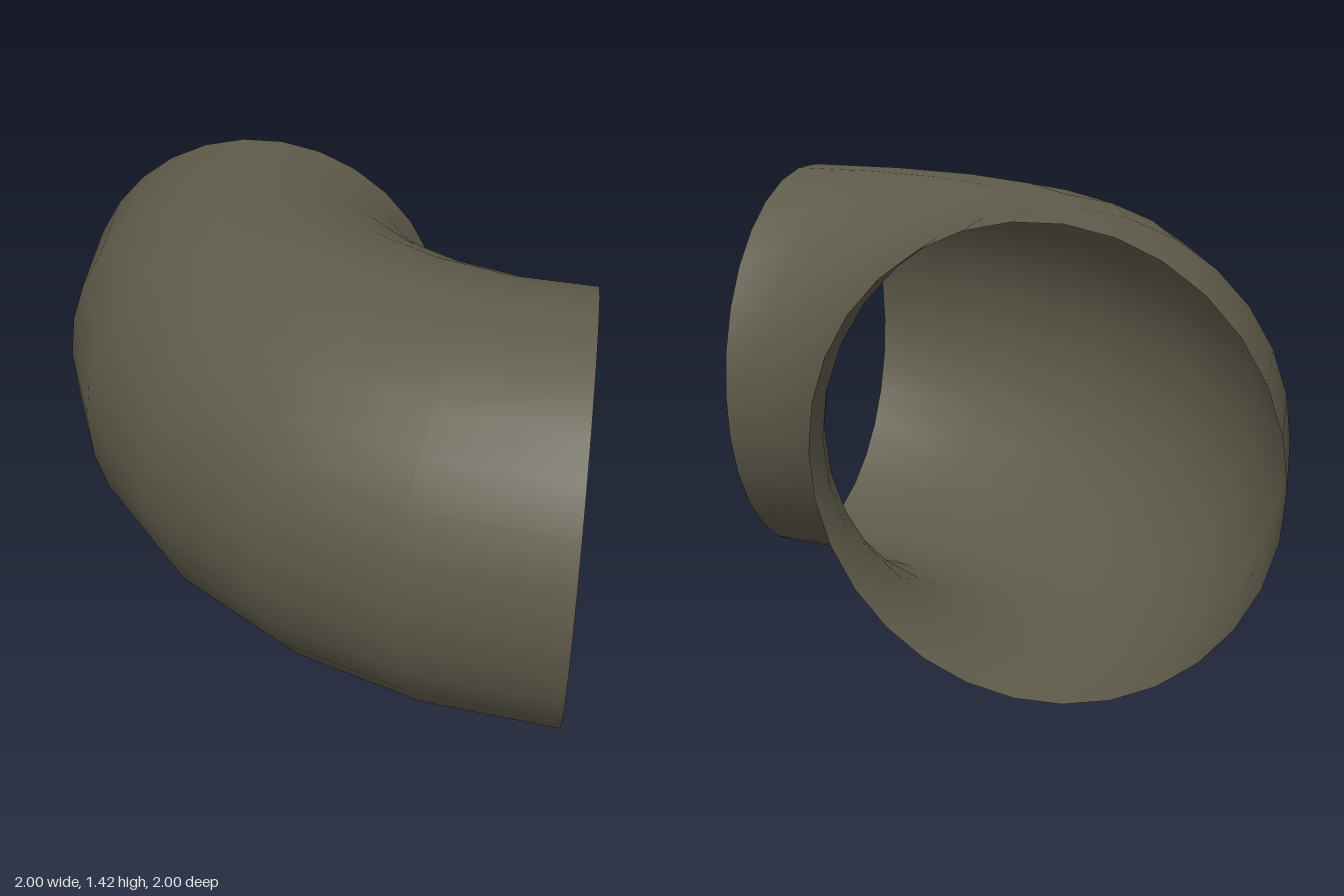
import * as THREE from 'three';

const BEND_RADIUS = 1.285; // centre line of the bend
const TUBE_RADIUS = 0.715;
const SIDES = 30;
const STEPS = 6;

export function createModel() {
  const group = new THREE.Group();
  group.name = 'pipeElbow';

  const darkOlive = new THREE.MeshStandardMaterial({ color: 0x5f5b4b, side: THREE.DoubleSide });
  darkOlive.name = 'dark olive grey';

  // Quarter-turn pipe, open at both ends, bending about the back left corner
  const bend = new THREE.TorusGeometry(BEND_RADIUS, TUBE_RADIUS, SIDES, STEPS, Math.PI / 2);
  bend.rotateX(Math.PI / 2);
  bend.rotateY(-Math.PI / 2);
  bend.computeBoundingBox();
  bend.translate(1, -bend.boundingBox.min.y, -1);

  const pipe = new THREE.Mesh(bend, darkOlive);
  pipe.name = 'pipeBend';
  group.add(pipe);
  return group;
}
